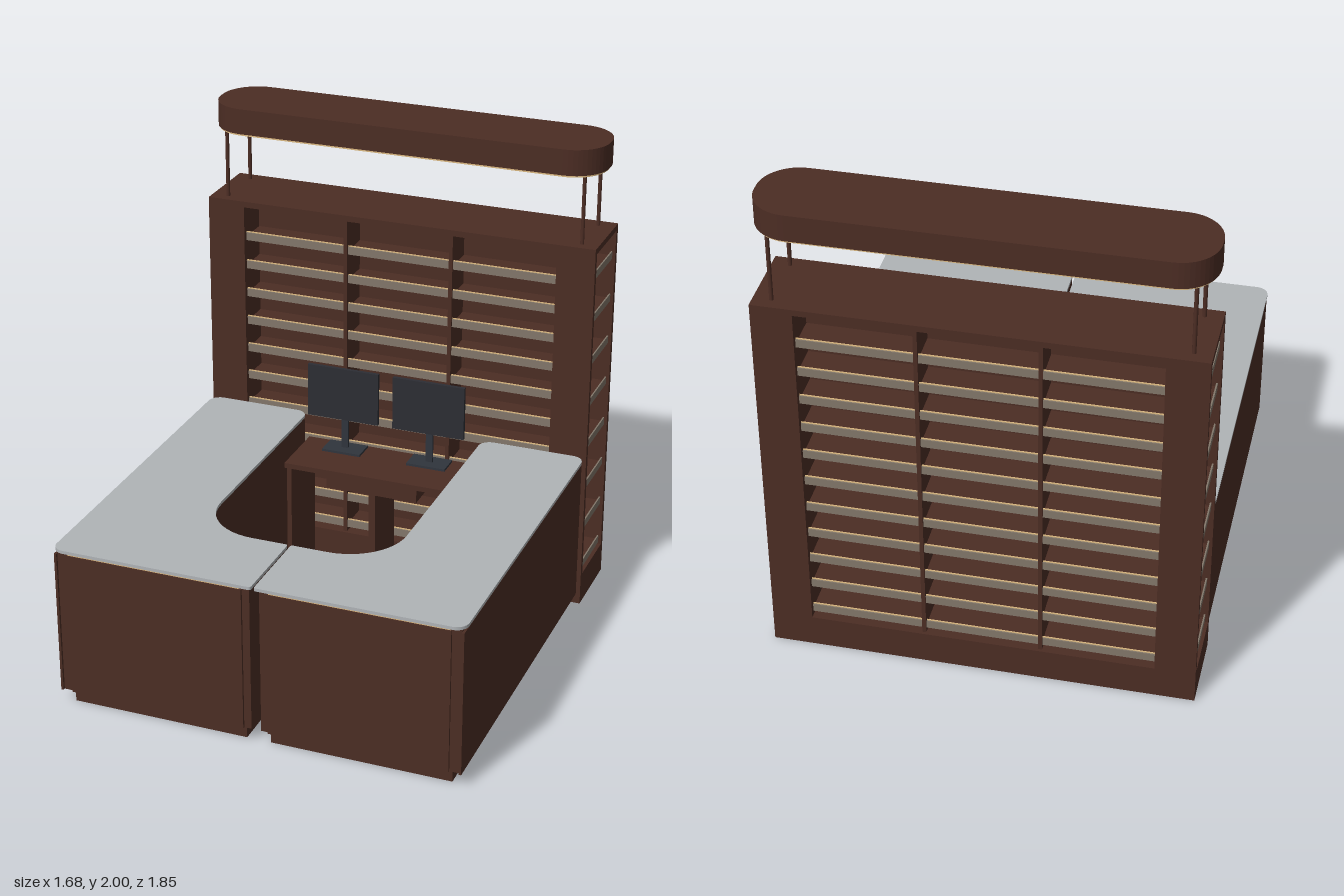
import * as THREE from 'three';

const mat = (name, color, extra = {}) => {
  const m = new THREE.MeshStandardMaterial({ color, ...extra });
  m.name = name;
  return m;
};

export function createModel() {
  const wood = mat('dark wood', 0x4c2d24);
  const glass = mat('frosted glass', 0xb0b4b7);
  const strip = mat('shelf strip', 0x82776a);
  const glow = mat('warm light', 0xdcba82);
  const screenMat = mat('monitor charcoal', 0x2c2d34);
  const standMat = mat('stand grey', 0x30353d);

  const root = new THREE.Group();
  root.name = 'kiosk';
  const group = (name) => {
    const g = new THREE.Group();
    g.name = name;
    root.add(g);
    return g;
  };
  const add = (parent, name, geo, material) => {
    const m = new THREE.Mesh(geo, material);
    m.name = name;
    parent.add(m);
    return m;
  };
  // box given by its min and max along each axis
  const box = (parent, name, material, x0, x1, y0, y1, z0, z1) => {
    const m = add(parent, name, new THREE.BoxGeometry(Math.abs(x1 - x0), y1 - y0, z1 - z0), material);
    m.position.set((x0 + x1) / 2, (y0 + y1) / 2, (z0 + z1) / 2);
    return m;
  };
  // plan outline [x, z, cornerRadius], extruded upward from y0 to y1
  const slab = (parent, name, material, pts, y0, y1) => {
    const shape = new THREE.Shape();
    const n = pts.length;
    const k = 0.5523;
    pts.forEach(([x, z, r = 0], i) => {
      const p = new THREE.Vector2(x, -z);
      const toward = (q) => new THREE.Vector2(q[0], -q[1]).sub(p).normalize();
      const a = toward(pts[(i + n - 1) % n]);
      const b = toward(pts[(i + 1) % n]);
      const at = (d, t) => p.clone().addScaledVector(d, t);
      const start = at(a, r);
      if (i === 0) shape.moveTo(start.x, start.y);
      else shape.lineTo(start.x, start.y);
      if (r > 0) {
        const c1 = at(a, r * (1 - k)), c2 = at(b, r * (1 - k)), end = at(b, r);
        shape.bezierCurveTo(c1.x, c1.y, c2.x, c2.y, end.x, end.y);
      }
    });
    const geo = new THREE.ExtrudeGeometry(shape, { depth: y1 - y0, bevelEnabled: false, curveSegments: 12 });
    geo.rotateX(-Math.PI / 2);
    geo.translate(0, y0, 0);
    return add(parent, name, geo, material);
  };

  // ---- Display wall, open on front, back and both ends ----
  const ZF = -0.6, ZB = -0.925, ZM = (ZF + ZB) / 2;
  const wall = group('displayWall');
  box(wall, 'wallBase', wood, -0.84, 0.84, 0, 0.135, ZB, ZF);
  box(wall, 'wallTop', wood, -0.84, 0.84, 1.575, 1.6, ZB, ZF);
  box(wall, 'centrePanel', wood, -0.7, 0.7, 0.135, 1.575, ZM - 0.006, ZM + 0.006);
  for (const s of [-1, 1]) {
    box(wall, 'endPartition', wood, s * 0.68, s * 0.71, 0.135, 1.575, ZB, ZF);
    box(wall, 'cornerPostFront', wood, s * 0.71, s * 0.84, 0.135, 1.575, ZF - 0.022, ZF);
    box(wall, 'cornerPostBack', wood, s * 0.71, s * 0.84, 0.135, 1.575, ZB, ZB + 0.022);
    box(wall, 'bayDivider', wood, s * 0.222, s * 0.238, 0.135, 1.575, ZB + 0.012, ZF - 0.012);
    // end shelves
    for (let i = 0; i < 8; i++) {
      const y = 0.16 + i * 0.187;
      box(wall, 'endShelf', wood, s * 0.71, s * 0.822, y - 0.014, y - 0.002, ZB + 0.022, ZF - 0.022);
      box(wall, 'endShelfStrip', strip, s * 0.822, s * 0.828, y - 0.016, y + 0.016, ZB + 0.024, ZF - 0.024);
    }
  }
  // three bays of shelves on front and back
  const bays = [[-0.68, -0.238], [-0.222, 0.222], [0.238, 0.68]];
  for (const d of [-1, 1]) {
    const span = (inner, outer) => {
      const a = ZM + d * inner, b = ZM + d * outer;
      return [Math.min(a, b), Math.max(a, b)];
    };
    for (const [x0, x1] of bays) {
      for (let i = 0; i < 11; i++) {
        const y = 0.17 + i * 0.127;
        box(wall, 'shelf', wood, x0, x1, y - 0.014, y - 0.002, ...span(0.006, 0.138));
        box(wall, 'shelfStrip', strip, x0, x1, y - 0.017, y + 0.017, ...span(0.138, 0.143));
        box(wall, 'shelfLight', glow, x0, x1, y + 0.017, y + 0.021, ...span(0.134, 0.138));
      }
    }
  }

  // ---- Canopy on four posts ----
  const canopy = group('canopy');
  const outline = (e) => [
    [-0.84 + e, ZF - e, 0.15 - e], [0.84 - e, ZF - e, 0.15 - e],
    [0.84 - e, ZB + e, 0.15 - e], [-0.84 + e, ZB + e, 0.15 - e],
  ];
  slab(canopy, 'canopyBody', wood, outline(0), 1.893, 2);
  slab(canopy, 'canopyLight', glow, outline(0.006), 1.885, 1.893);
  for (const x of [-0.77, 0.77]) {
    for (const z of [-0.645, -0.875]) {
      const post = add(canopy, 'canopyPost', new THREE.CylinderGeometry(0.008, 0.008, 0.29, 12), wood);
      post.position.set(x, 1.74, z);
    }
  }

  // ---- Two mirrored L-shaped counters ----
  for (const s of [-1, 1]) {
    const counter = group(s > 0 ? 'leftCounter' : 'rightCounter');
    const ell = (xIn, xOut, zFront, gx, gz) => [
      [s * xIn, zFront], [s * xOut, zFront], [s * xOut, -0.57],
      [s * gx, -0.57], [s * gx, gz], [s * xIn, gz],
    ];
    slab(counter, 'counterPlinth', wood, ell(0.05, 0.785, 0.875, 0.43, 0.6), 0, 0.06);
    slab(counter, 'counterBody', wood, ell(0.02, 0.82, 0.9, 0.4, 0.57), 0.06, 0.676);
    box(counter, 'frontPanel', wood, s * 0.05, s * 0.78, 0.06, 0.664, 0.9, 0.91);
    box(counter, 'sidePanel', wood, s * 0.82, s * 0.83, 0.06, 0.664, -0.57, 0.91);
    box(counter, 'frontLight', glow, s * 0.06, s * 0.775, 0.665, 0.675, 0.9, 0.907);
    box(counter, 'sideLight', glow, s * 0.82, s * 0.827, 0.665, 0.675, -0.52, 0.86);
    slab(counter, 'counterTop', glass, [
      [s * 0.006, 0.92, 0.01], [s * 0.836, 0.92, 0.05], [s * 0.836, -0.592, 0.05],
      [s * 0.392, -0.592, 0.05], [s * 0.392, 0.557, 0.235], [s * 0.006, 0.557, 0.01],
    ], 0.676, 0.689);
  }

  // ---- Work desk between the counters ----
  const desk = group('desk');
  box(desk, 'deskTop', wood, -0.38, 0.38, 0.56, 0.582, -0.575, -0.295);
  box(desk, 'deskBackPanel', wood, -0.36, 0.36, 0.42, 0.56, -0.57, -0.555);
  box(desk, 'deskCentrePanel', wood, -0.015, 0.015, 0, 0.56, -0.56, -0.33);
  for (const s of [-1, 1]) box(desk, 'deskLeg', wood, s * 0.355, s * 0.375, 0, 0.56, -0.57, -0.31);
  box(desk, 'deskDrawer', wood, -0.2, 0.2, 0.49, 0.56, -0.5, -0.32);

  // ---- Monitors ----
  for (const x of [-0.192, 0.187]) {
    const g = group('monitor');
    box(g, 'screenCase', screenMat, x - 0.157, x + 0.157, 0.73, 0.962, -0.502, -0.486);
    box(g, 'screenMount', standMat, x - 0.03, x + 0.03, 0.74, 0.8, -0.51, -0.502);
    box(g, 'standColumn', standMat, x - 0.015, x + 0.015, 0.59, 0.77, -0.518, -0.507);
    box(g, 'standBase', standMat, x - 0.085, x + 0.085, 0.582, 0.592, -0.56, -0.462);
  }
  return root;
}
